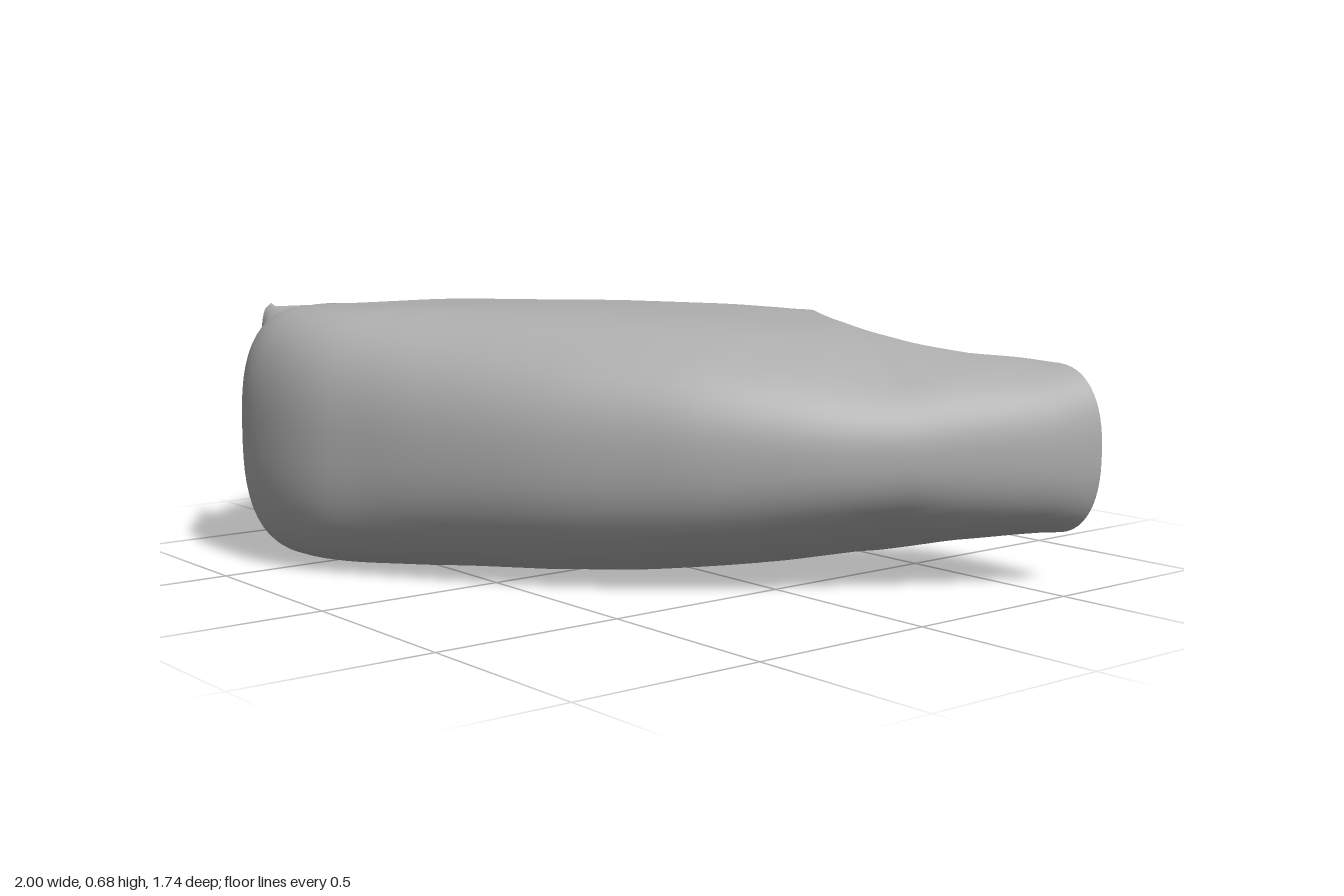
import * as THREE from 'three';
import { toCreasedNormals } from 'three/addons/utils/BufferGeometryUtils.js';

const MID = 0.345; // height of the symmetry plane
const WALL = 0.032;

// Half height of the housing over its plan, falling away towards the vented back
const HALF = [[-1, 0.315], [-0.84, 0.318], [-0.6, 0.334], [-0.25, 0.341], [0, 0.338], [0.2, 0.326], [0.4, 0.302],
  [0.55, 0.274], [0.7, 0.238], [0.85, 0.217], [1.1, 0.2]];
function halfHeight(x, z) {
  let k = 0;
  while (k < HALF.length - 2 && x > HALF[k + 1][0]) k++;
  const [x0, h0] = HALF[k], [x1, h1] = HALF[k + 1];
  const h = THREE.MathUtils.lerp(h0, h1, THREE.MathUtils.clamp((x - x0) / (x1 - x0), 0, 1));
  const back = -(0.564 * x + 0.825 * z);
  return h - 0.48 * Math.max(0, back - 0.1) ** 2;
}

// Paired plan curves: outer front wall, and the far edge of the top and bottom skins
const curve = (pts) => new THREE.CatmullRomCurve3(pts.map(([x, z]) => new THREE.Vector3(x, 0, z)));
const FRONT = curve([[-0.84, 0.71], [-0.78, 0.79], [-0.65, 0.86], [-0.5, 0.87], [-0.35, 0.84], [-0.2, 0.765],
  [-0.05, 0.68], [0.2, 0.515], [0.4, 0.345], [0.5, 0.25], [0.62, 0.11], [0.7, 0], [0.79, -0.15],
  [0.86, -0.28], [0.92, -0.4], [0.965, -0.51], [1, -0.63]]);
const EDGE = curve([[-0.82, 0.69], [-0.72, 0.57], [-0.655, 0.4], [-0.64, 0.2], [-0.66, 0], [-0.68, -0.2],
  [-0.62, -0.275], [-0.33, -0.475], [-0.04, -0.675], [0.03, -0.6], [0.12, -0.48], [0.25, -0.37],
  [0.42, -0.325], [0.58, -0.36], [0.7, -0.47], [0.78, -0.57], [0.86, -0.625]]);

// Thick skin from a grid of points; cells where solid() is false become openings
function shell(ni, nj, point, solid = () => true) {
  const id = (i, j) => i * (nj + 1) + j;
  const pos = [], idx = [], full = [];
  for (let i = 0; i <= ni; i++) for (let j = 0; j <= nj; j++) pos.push(...point(i, j));
  for (let i = 0; i < ni; i++) for (let j = 0; j < nj; j++) {
    const a = id(i, j), b = id(i + 1, j), c = id(i + 1, j + 1), d = id(i, j + 1);
    full.push(a, b, c, a, c, d);
  }
  const g = new THREE.BufferGeometry();
  g.setAttribute('position', new THREE.Float32BufferAttribute(pos, 3));
  g.setIndex(full);
  g.computeVertexNormals();
  const n = g.attributes.normal.array, count = pos.length / 3;
  const all = pos.concat(pos.map((v, k) => v - WALL * n[k]));
  const open = (i, j) => i < 0 || j < 0 || i >= ni || j >= nj || !solid(i, j);
  const rim = (a, b) => idx.push(b, a, a + count, b, a + count, b + count);
  for (let i = 0; i < ni; i++) for (let j = 0; j < nj; j++) {
    if (open(i, j)) continue;
    const a = id(i, j), b = id(i + 1, j), c = id(i + 1, j + 1), d = id(i, j + 1);
    idx.push(a, b, c, a, c, d);
    idx.push(...[a, c, b, a, d, c].map((v) => v + count));
    if (open(i, j - 1)) rim(a, b);
    if (open(i + 1, j)) rim(b, c);
    if (open(i, j + 1)) rim(c, d);
    if (open(i - 1, j)) rim(d, a);
  }
  const out = new THREE.BufferGeometry();
  out.setAttribute('position', new THREE.Float32BufferAttribute(all, 3));
  out.setIndex(idx);
  return toCreasedNormals(out, 0.7);
}

// Front wall with the top and bottom skins, as one C-shaped sweep;
// the rolled edge widens and softens away from the square end
function bodyGeometry() {
  const ni = 128, roll = 14, flat = 8, half = roll + flat;
  return shell(ni, half * 2, (i, j) => {
    const t = i / ni, soft = THREE.MathUtils.smoothstep(t, 0.15, 0.45);
    const f = FRONT.getPoint(t), e = EDGE.getPoint(t);
    const d = f.distanceTo(e), r = Math.min(0.22 + 0.18 * soft, d), pow = 2.8 - 0.4 * soft;
    const k = Math.abs(j - half), side = Math.sign(j - half);
    const s = Math.sin(Math.min(k / roll, 1) * Math.PI / 2);
    const u = k <= roll ? r * (1 - Math.max(0, 1 - s ** pow) ** (1 / pow)) : r + (d - r) * (k - roll) / flat;
    const p = f.clone().lerp(e, u / d);
    return [p.x, MID + side * s * halfHeight(p.x, p.z), p.z];
  });
}

// Bulging wall that hangs outside a plan line, rolled into the skins
function bulge(ni, nj, base, depth, trim, solid) {
  return shell(ni, nj, (i, j) => {
    const b = base(i / ni);
    const s = Math.sin((1 - 2 * j / nj) * Math.PI / 2);
    const w = depth * Math.cbrt(Math.max(0, 1 - Math.abs(s) ** 3));
    const x = b.x - 0.564 * w, z = b.z - 0.825 * w;
    return [x, MID + s * (halfHeight(x, z) - trim), z];
  }, solid);
}

// Three staggered columns of slots, eight rows high
function ventSolid(i, j) {
  const row = Math.floor((j - 14) / 4);
  if (row < 0 || row > 7 || (j - 14) % 4 > 1) return true;
  const c = i - 13 - (row % 2) * 3;
  return c < 0 || c >= 42 || c % 14 >= 11;
}

// Flat plate from a plan outline, with hexagonal holes [x, z, radius]
function slab(outline, y0, y1, holes = []) {
  const s = new THREE.Shape(outline.map(([x, z]) => new THREE.Vector2(x, -z)));
  for (const [x, z, r] of holes) s.holes.push(new THREE.Path(hexagon(x, z, r).map(([a, b]) => new THREE.Vector2(a, -b))));
  const g = new THREE.ExtrudeGeometry(s, { depth: y1 - y0, bevelEnabled: false });
  g.rotateX(-Math.PI / 2);
  g.translate(0, y0, 0);
  return g;
}
function hexagon(x, z, r) {
  return Array.from({ length: 6 }, (_, k) => [x + r * Math.cos(k * Math.PI / 3 + 0.2), z + r * Math.sin(k * Math.PI / 3 + 0.2)]);
}

// End cheek: sits just under the skin, rolls down into a lip, pierced for a screw
const CHEEK_IN = curve([[-0.79, 0.67], [-0.7, 0.57], [-0.635, 0.4], [-0.62, 0.22], [-0.635, 0.08], [-0.645, -0.05], [-0.66, -0.2]]);
const CHEEK_OUT = curve([[-0.805, 0.675], [-0.94, 0.52], [-0.995, 0.4], [-0.995, 0.22], [-0.93, 0.08], [-0.9, -0.05], [-0.88, -0.14]]);
function cheekGeometry(side) {
  const ni = 72, flat = 16, roll = 8, nj = flat + roll;
  const point = (i, j) => {
    const k = side > 0 ? j : nj - j;
    const a = CHEEK_IN.getPoint(i / ni), b = CHEEK_OUT.getPoint(i / ni);
    const d = a.distanceTo(b), r = Math.min(0.05, d);
    const turn = Math.max(0, k - flat) / roll * Math.PI / 2;
    const p = a.lerp(b, ((d - r) * Math.min(k / flat, 1) + r * Math.sin(turn)) / d);
    return [p.x, MID + side * (halfHeight(p.x, p.z) - 0.01 - 0.12 * (1 - Math.cos(turn))), p.z];
  };
  return shell(ni, nj, point, (i, j) => {
    const [x, , z] = point(i + 0.5, j + 0.5);
    return Math.hypot(x + 0.91, z - 0.42) > 0.055;
  });
}

export function createModel() {
  const group = new THREE.Group();
  const grey = new THREE.MeshStandardMaterial({ color: 0xacacac, side: THREE.DoubleSide });
  grey.name = 'grey plastic';
  const add = (name, geometry) => {
    const m = new THREE.Mesh(geometry, grey);
    m.name = name;
    group.add(m);
  };
  // Same plate above and below the symmetry plane
  const addPair = (name, outline, y0, y1, holes) => {
    add('upper ' + name, slab(outline, y0, y1, holes));
    add('lower ' + name, slab(outline, 2 * MID - y1, 2 * MID - y0, holes));
  };

  add('housing shell', bodyGeometry());
  add('vented back wall', bulge(60, 60, (t) => EDGE.getPoint((5 + 3 * t) / 16), 0.115, 0, ventSolid));

  // Recessed end panel: two lipped cheeks joined by a column at the back
  const start = new THREE.Vector3(-0.85, 0, -0.085), end = new THREE.Vector3(-0.67, 0, -0.2);
  add('end panel column', bulge(8, 40, (t) => start.clone().lerp(end, t), 0.105, 0.01));
  add('upper end cheek', cheekGeometry(1));
  add('lower end cheek', cheekGeometry(-1));
  addPair('end screw boss', hexagon(-0.91, 0.42, 0.07), 0.5, 0.652, [[-0.91, 0.42, 0.05]]);

  // Hinge lugs at the back opening
  const lug = [[-0.07, -0.74], [0.02, -0.83], [0.15, -0.87], [0.26, -0.835], [0.33, -0.85], [0.385, -0.8],
    [0.37, -0.66], [0.32, -0.615], [0.2, -0.645], [0.12, -0.62], [0.02, -0.62], [-0.05, -0.67]];
  addPair('hinge lug', lug, 0.405, 0.485, [[0.05, -0.74, 0.05], [0.295, -0.74, 0.045]]);
  addPair('hinge boss', hexagon(0.05, -0.74, 0.075), 0.4, 0.5, [[0.05, -0.74, 0.05]]);
  addPair('hinge bracket', [[-0.09, -0.72], [-0.02, -0.71], [0.07, -0.64], [0.03, -0.57], [-0.07, -0.64]], 0.44, 0.555);

  // Small screw tabs inside the open end
  const tab = [[0.36, -0.28], [0.5, -0.49], [0.545, -0.505], [0.61, -0.43], [0.6, -0.4], [0.46, -0.27]];
  addPair('screw tab', tab, 0.45, 0.51, [[0.535, -0.43, 0.03]]);
  addPair('tab post', [[0.38, -0.27], [0.43, -0.34], [0.51, -0.3], [0.45, -0.23]], 0.45, 0.6);

  return group;
}
